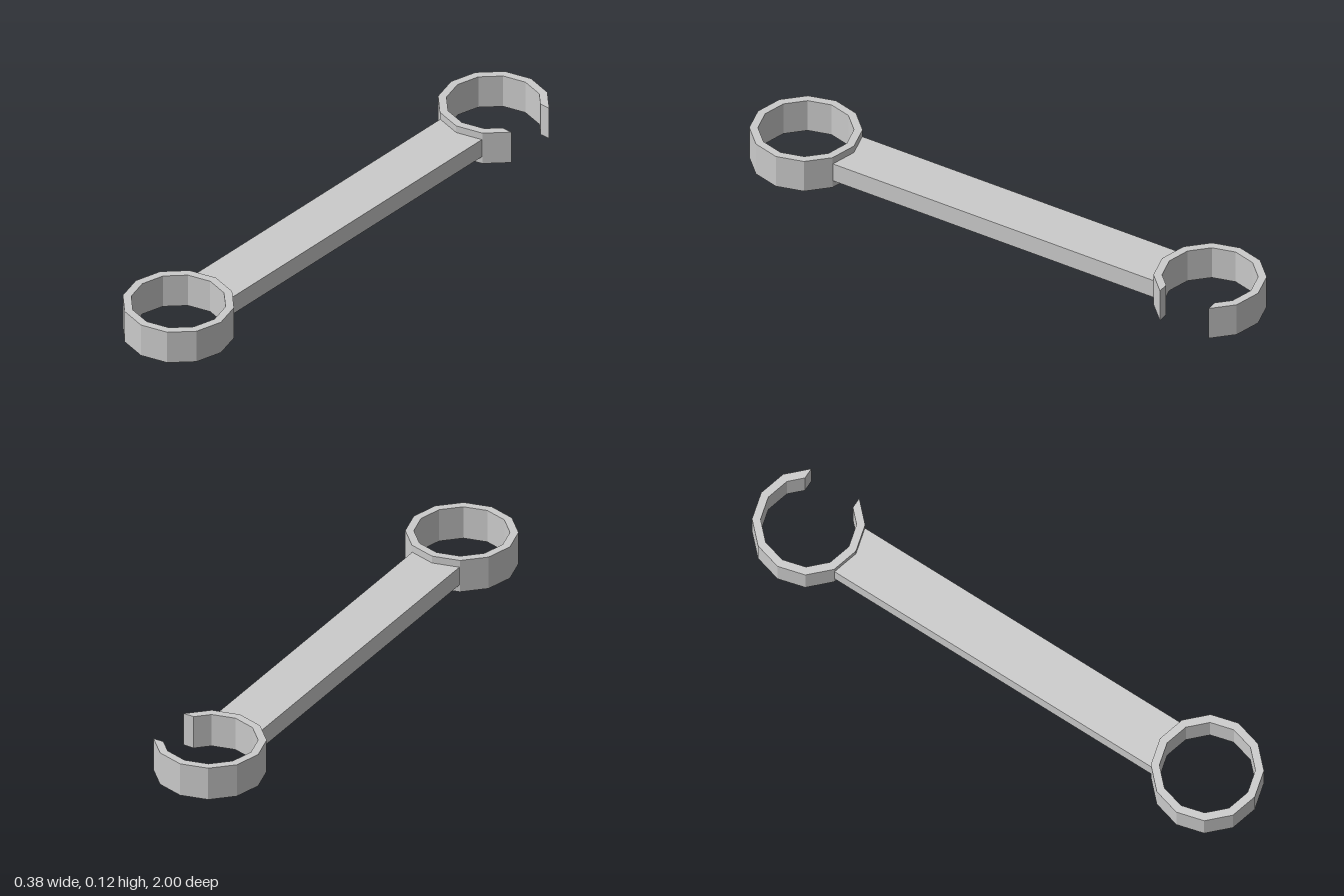
import * as THREE from 'three';

const R_OUT = 0.192, R_IN = 0.163, HEIGHT = 0.124, RING_Z = 0.808;
const JAW = 0.097; // half width of the jaw opening

const material = new THREE.MeshStandardMaterial({ color: 0xcccccc, flatShading: true });

// Corners of a regular twelve-sided ring edge, from corner i0 to corner i1
function corners(radius, i0, i1) {
  const pts = [];
  for (let i = i0; i <= i1; i++) {
    const a = (i * Math.PI) / 6;
    pts.push(new THREE.Vector2(radius * Math.cos(a), radius * Math.sin(a)));
  }
  return pts;
}

// Point where the edge between corners 1 and 2 meets the jaw opening
function jawPoint(radius, side) {
  const [a, b] = corners(radius, 1, 2);
  const t = (JAW - a.y) / (b.y - a.y);
  return new THREE.Vector2(a.x + (b.x - a.x) * t, side * JAW);
}

// Extrude a plan shape upward from y = 0
function ringMesh(name, shape, z) {
  const geometry = new THREE.ExtrudeGeometry(shape, { depth: HEIGHT, bevelEnabled: false });
  geometry.rotateX(-Math.PI / 2);
  const mesh = new THREE.Mesh(geometry, material);
  mesh.name = name;
  mesh.position.z = z;
  return mesh;
}

export function createModel() {
  const model = new THREE.Group();
  model.name = 'wrench';

  // Closed ring at the front end
  const closed = new THREE.Shape(corners(R_OUT, 0, 11));
  closed.holes.push(new THREE.Path(corners(R_IN, 0, 11).reverse()));
  model.add(ringMesh('closedRing', closed, RING_Z));

  // Open jaw at the back end, cut square on its +x side
  const outer = [jawPoint(R_OUT, 1), ...corners(R_OUT, 2, 10), jawPoint(R_OUT, -1)];
  const inner = [jawPoint(R_IN, 1), ...corners(R_IN, 2, 10), jawPoint(R_IN, -1)];
  model.add(ringMesh('openJaw', new THREE.Shape([...outer, ...inner.reverse()]), -RING_Z));

  // Flat handle joining the two heads
  const handle = new THREE.Mesh(new THREE.BoxGeometry(0.188, 0.07, 1.282), material);
  handle.name = 'handle';
  handle.position.y = HEIGHT / 2;
  model.add(handle);

  return model;
}
